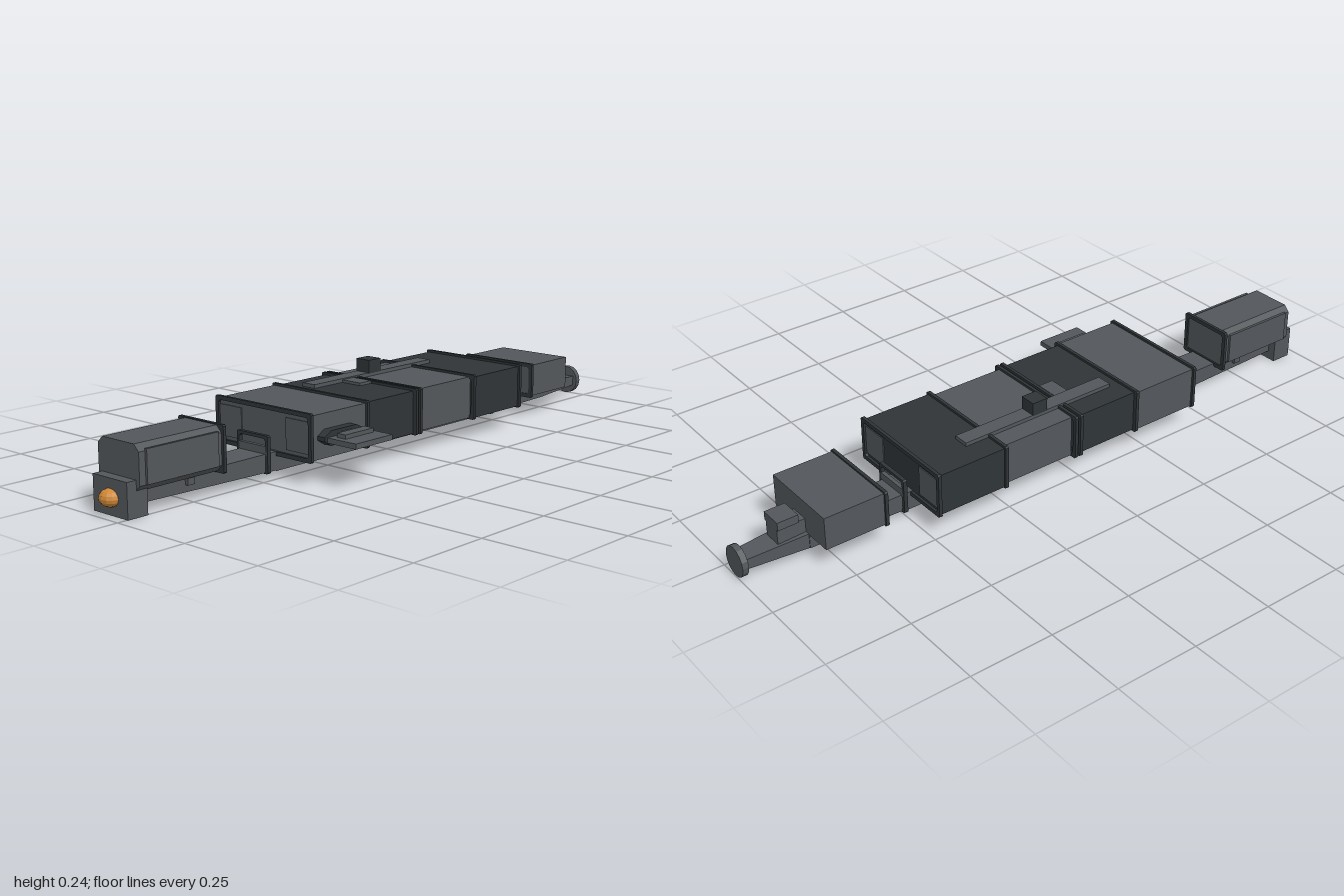
import * as THREE from 'three';

export function createModel() {
  const model = new THREE.Group();
  const CX = -0.0625; // long axis of the vehicle
  const mat = (color) => new THREE.MeshStandardMaterial({ color, flatShading: true, roughness: 0.8 });
  const grey = mat(0x53575b), dark = mat(0x2f3437), orange = mat(0xcf8838);

  function add(name, geometry, material) {
    const mesh = new THREE.Mesh(geometry, material);
    mesh.name = name;
    model.add(mesh);
    return mesh;
  }
  // Box given by its extents
  function box(name, x0, x1, y0, y1, z0, z1, material = grey) {
    const mesh = add(name, new THREE.BoxGeometry(x1 - x0, y1 - y0, z1 - z0), material);
    mesh.position.set((x0 + x1) / 2, (y0 + y1) / 2, (z0 + z1) / 2);
    return mesh;
  }
  // Rectangle with cut corners, centred on the long axis
  function cutRect(Path, hw, y0, y1, c) {
    const p = new Path();
    p.moveTo(CX - hw + c, y0);
    p.lineTo(CX + hw - c, y0);
    p.lineTo(CX + hw, y0 + c);
    p.lineTo(CX + hw, y1 - c);
    p.lineTo(CX + hw - c, y1);
    p.lineTo(CX - hw + c, y1);
    p.lineTo(CX - hw, y1 - c);
    p.lineTo(CX - hw, y0 + c);
    p.closePath();
    return p;
  }
  const extrude = (shape, depth) => new THREE.ExtrudeGeometry(shape, { depth, bevelEnabled: false });
  // Thin rim around a body
  function frame(name, hw, y0, y1, z, t = 0.012, depth = 0.01) {
    const s = cutRect(THREE.Shape, hw, y0, y1, 0.004);
    s.holes.push(cutRect(THREE.Path, hw - t, y0 + t, y1 - t, 0.006));
    add(name, extrude(s, depth), dark).position.z = z - depth / 2;
  }
  // Beam tapering between two rectangular sections [z, halfWidth, bottom, top]
  function taperedBeam(name, a, b) {
    const g = new THREE.BoxGeometry(1, 1, 1), p = g.attributes.position;
    for (let i = 0; i < p.count; i++) {
      const [z, hw, y0, y1] = p.getZ(i) > 0 ? a : b;
      p.setXYZ(i, CX + Math.sign(p.getX(i)) * hw, p.getY(i) > 0 ? y1 : y0, z);
    }
    g.computeVertexNormals();
    add(name, g, grey);
  }

  // Spine
  taperedBeam('spineFront', [0.92, 0.042, 0.027, 0.068], [0.44, 0.052, 0.021, 0.074]);
  taperedBeam('spineMiddle', [0.44, 0.052, 0.019, 0.075], [-0.5, 0.05, 0.019, 0.075]);
  taperedBeam('spineRear', [-0.5, 0.048, 0.021, 0.074], [-0.8, 0.044, 0.025, 0.07]);
  taperedBeam('tailBoom', [-0.8, 0.042, 0.025, 0.07], [-0.985, 0.03, 0.032, 0.062]);

  // Tail disc
  const disc = add('tailDisc', new THREE.CylinderGeometry(0.045, 0.045, 0.018, 16), grey);
  disc.rotation.x = Math.PI / 2;
  disc.position.set(CX, 0.048, -0.991);

  // Cargo containers, alternately light and dark
  const containers = [
    [0.215, 0.435, 0.18, grey], [0.005, 0.215, 0.174, dark],
    [-0.255, -0.015, 0.168, grey], [-0.475, -0.255, 0.18, dark],
  ];
  containers.forEach(([z0, z1, hw, m], i) =>
    box('container' + (i + 1), CX - hw, CX + hw, 0.066, 0.191, z0, z1, m));
  for (const z of [0.437, 0.215, 0.008, -0.01, -0.255, -0.478])
    frame('containerFrame', 0.187, 0.062, 0.198, z);

  // End panels on the outer containers, either side of the collar
  for (const s of [-1, 1])
    for (const z of [0.435, -0.475]) {
      const x = CX + s * 0.13;
      box('endPanel', x - 0.043, x + 0.043, 0.084, 0.174, z - 0.003, z + 0.003);
    }

  // Collars where the spine leaves the containers
  for (const z of [0.475, -0.505]) {
    frame('collar', 0.06, 0.018, 0.125, z, 0.009, 0.012);
    box('collarSill', CX - 0.055, CX + 0.055, 0.07, 0.095, z - 0.006, z + 0.006);
  }
  // Clamps under the containers
  for (const z of [0.75, 0.33, 0.11, -0.13, -0.36, -0.7])
    box('clamp', CX - 0.056, CX + 0.056, 0.045, 0.07, z - 0.012, z + 0.012);

  // Roof rail, mast block and hatch
  box('roofRail', -0.17, -0.122, 0.19, 0.202, -0.335, 0.175);
  box('mastBlock', -0.171, -0.12, 0.2, 0.24, -0.105, -0.055, dark);
  box('roofHatch', -0.12, -0.05, 0.19, 0.199, 0.012, 0.06);

  // Side hinge and platform
  const hinge = new THREE.Shape([[0.255, 0.12], [0.285, 0.105], [0.385, 0.105], [0.41, 0.12],
    [0.41, 0.132], [0.385, 0.147], [0.285, 0.147], [0.255, 0.132]].map(([z, y]) => new THREE.Vector2(-z, y)));
  const hingeMesh = add('platformHinge', extrude(hinge, 0.03), dark);
  hingeMesh.rotation.y = Math.PI / 2;
  hingeMesh.position.x = 0.114;
  box('sidePlatform', 0.12, 0.248, 0.115, 0.13, 0.255, 0.4);
  box('platformPad', 0.16, 0.192, 0.13, 0.142, 0.27, 0.38);
  box('platformBridge', 0.14, 0.165, 0.13, 0.138, 0.305, 0.345);

  // Front cabin with side strips and rims
  add('cabin', extrude(cutRect(THREE.Shape, 0.08, 0.066, 0.19, 0.018), 0.28), grey).position.z = 0.66;
  for (const s of [-1, 1]) {
    const x = CX + s * 0.083;
    box('cabinSideStrip', x - 0.004, x + 0.004, 0.085, 0.178, 0.68, 0.92);
  }
  frame('cabinFrame', 0.088, 0.062, 0.193, 0.66);

  // Nose block and lamp
  box('noseBlock', -0.13, 0.004, 0, 0.098, 0.905, 0.97);
  const lamp = add('noseLamp', new THREE.SphereGeometry(1, 12, 8), orange);
  lamp.scale.set(0.032, 0.024, 0.03);
  lamp.position.set(CX, 0.047, 0.97);

  // Rear module and its equipment box
  box('rearModule', CX - 0.128, CX + 0.128, 0.068, 0.167, -0.8, -0.61);
  frame('rearModuleFrame', 0.134, 0.063, 0.172, -0.612);
  box('tailEquipment', CX - 0.028, CX + 0.028, 0.06, 0.112, -0.885, -0.8);
  box('tailEquipmentCap', CX - 0.034, CX + 0.034, 0.112, 0.137, -0.885, -0.822);

  return model;
}
